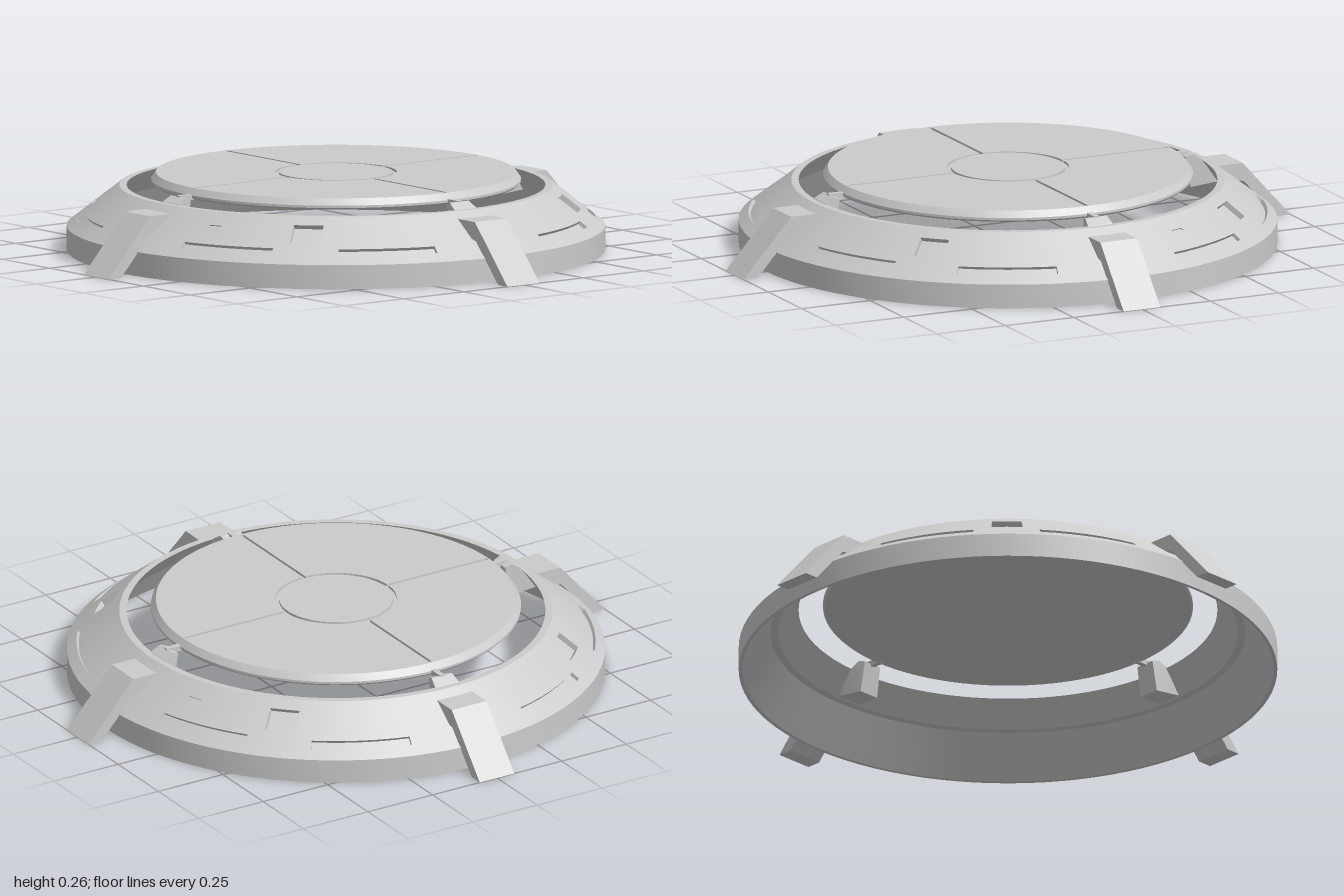
import * as THREE from 'three';
import { toCreasedNormals } from 'three/addons/utils/BufferGeometryUtils.js';

const SEG = 96;
const grey = new THREE.MeshStandardMaterial({ color: 0xcccccc });
const greyDouble = new THREE.MeshStandardMaterial({ color: 0xcccccc, side: THREE.DoubleSide });

function part(name, geometry, material = grey) {
  const mesh = new THREE.Mesh(toCreasedNormals(geometry, 0.4), material);
  mesh.name = name;
  return mesh;
}

function lathe(name, profile) {
  return part(name, new THREE.LatheGeometry(profile.map(([r, y]) => new THREE.Vector2(r, y)), SEG));
}

// Side profile in (radius, height), given a width and turned to face +z
function radialBlock(profile, width) {
  const shape = new THREE.Shape(profile.map(([r, y]) => new THREE.Vector2(r, y)));
  return new THREE.ExtrudeGeometry(shape, { depth: width, bevelEnabled: false })
    .translate(0, 0, -width / 2)
    .rotateY(-Math.PI / 2);
}

// Sloping band made of cells; cells inside a slot or window are sunk inwards
function slopedBand() {
  const heights = [0.08, 0.105, 0.124, 0.142, 0.171, 0.177, 0.19, 0.215];
  const rows = heights.length - 1;
  const depth = (i, j) => {
    i = (i + SEG) % SEG;
    const k = i % 24; // cell number within a quarter turn, 3.75 degrees each
    if (j === 1 && ((k >= 4 && k < 10) || (k >= 14 && k < 20))) return 0.012; // long slots
    if (j >= 3 && j <= 5 && (k === 11 || k === 12)) return 0.018; // windows
    if (j === 4 && (i === 5 || i === 53)) return 0.004; // small vents
    return 0;
  };
  const point = (i, j, d) => {
    const a = (i / SEG) * Math.PI * 2;
    const y = heights[j];
    const r = 0.885 - ((y - 0.08) / 0.135) * 0.173 - d * 0.62;
    return [r * Math.sin(a), y - d * 0.78, r * Math.cos(a)];
  };
  const positions = [];
  const quad = (a, b, c, d) => positions.push(...a, ...b, ...c, ...a, ...c, ...d);
  for (let i = 0; i < SEG; i++) {
    for (let j = 0; j < rows; j++) {
      const d = depth(i, j);
      quad(point(i, j, d), point(i + 1, j, d), point(i + 1, j + 1, d), point(i, j + 1, d));
      // Step walls towards the next cell along and the next cell up
      const e = depth(i + 1, j);
      if (e !== d) quad(point(i + 1, j, d), point(i + 1, j, e), point(i + 1, j + 1, e), point(i + 1, j + 1, d));
      const f = j + 1 < rows ? depth(i, j + 1) : d;
      if (f !== d) quad(point(i, j + 1, d), point(i + 1, j + 1, d), point(i + 1, j + 1, f), point(i, j + 1, f));
    }
  }
  const geometry = new THREE.BufferGeometry();
  geometry.setAttribute('position', new THREE.Float32BufferAttribute(positions, 3));
  return part('slopedBand', geometry, greyDouble);
}

// Quarter of the top plate, with half a groove left open on each straight edge
function quarterPlate() {
  const inner = 0.2, outer = 0.585, gap = 0.006;
  const a = Math.asin(gap / outer), b = Math.asin(gap / inner);
  const shape = new THREE.Shape();
  shape.absarc(0, 0, outer, a, Math.PI / 2 - a, false);
  shape.absarc(0, 0, inner, Math.PI / 2 - b, b, true);
  return new THREE.ExtrudeGeometry(shape, { depth: 0.008, bevelEnabled: false, curveSegments: 24 })
    .rotateX(-Math.PI / 2)
    .translate(0, 0.25, 0);
}

export function createModel() {
  const model = new THREE.Group();
  model.name = 'landingPad';

  // Outer ring: rim, top lip and stepped inside
  model.add(lathe('ringLip', [[0.712, 0.215], [0.688, 0.215], [0.755, 0.134], [0.78, 0.134],
    [0.873, 0], [0.885, 0], [0.885, 0.08]]));
  model.add(slopedBand());

  // Central platform
  model.add(lathe('platformBase', [[0, 0.222], [0.602, 0.222], [0.608, 0.228], [0.608, 0.236],
    [0.592, 0.258], [0.585, 0.258], [0.585, 0.25], [0, 0.25]]));
  const hub = part('centrePlate', new THREE.CylinderGeometry(0.187, 0.187, 0.008, 64));
  hub.position.y = 0.254;
  model.add(hub);

  // Support bracket, narrower towards the platform
  const bracket = radialBlock([[0.65, 0.125], [0.745, 0.135], [0.688, 0.217], [0.657, 0.236], [0.633, 0.228]], 0.09);
  const p = bracket.attributes.position;
  for (let i = 0; i < p.count; i++) {
    p.setX(i, p.getX(i) * Math.min(1, 0.78 + (p.getZ(i) - 0.633) * 4));
  }

  const leg = radialBlock([[0.95, 0], [1, 0], [0.826, 0.194], [0.735, 0.194], [0.79, 0.14], [0.83, 0.132]], 0.134);
  const rod = new THREE.BoxGeometry(0.018, 0.018, 0.07).translate(0, 0.23, 0.625);
  const plate = quarterPlate();

  // Four-fold parts
  for (let q = 0; q < 4; q++) {
    const side = new THREE.Group();
    side.name = 'quarter' + (q + 1);
    side.rotation.y = (q * Math.PI) / 2;
    side.add(part('leg', leg), part('supportBracket', bracket), part('supportRod', rod), part('topPlate', plate));
    model.add(side);
  }
  return model;
}
